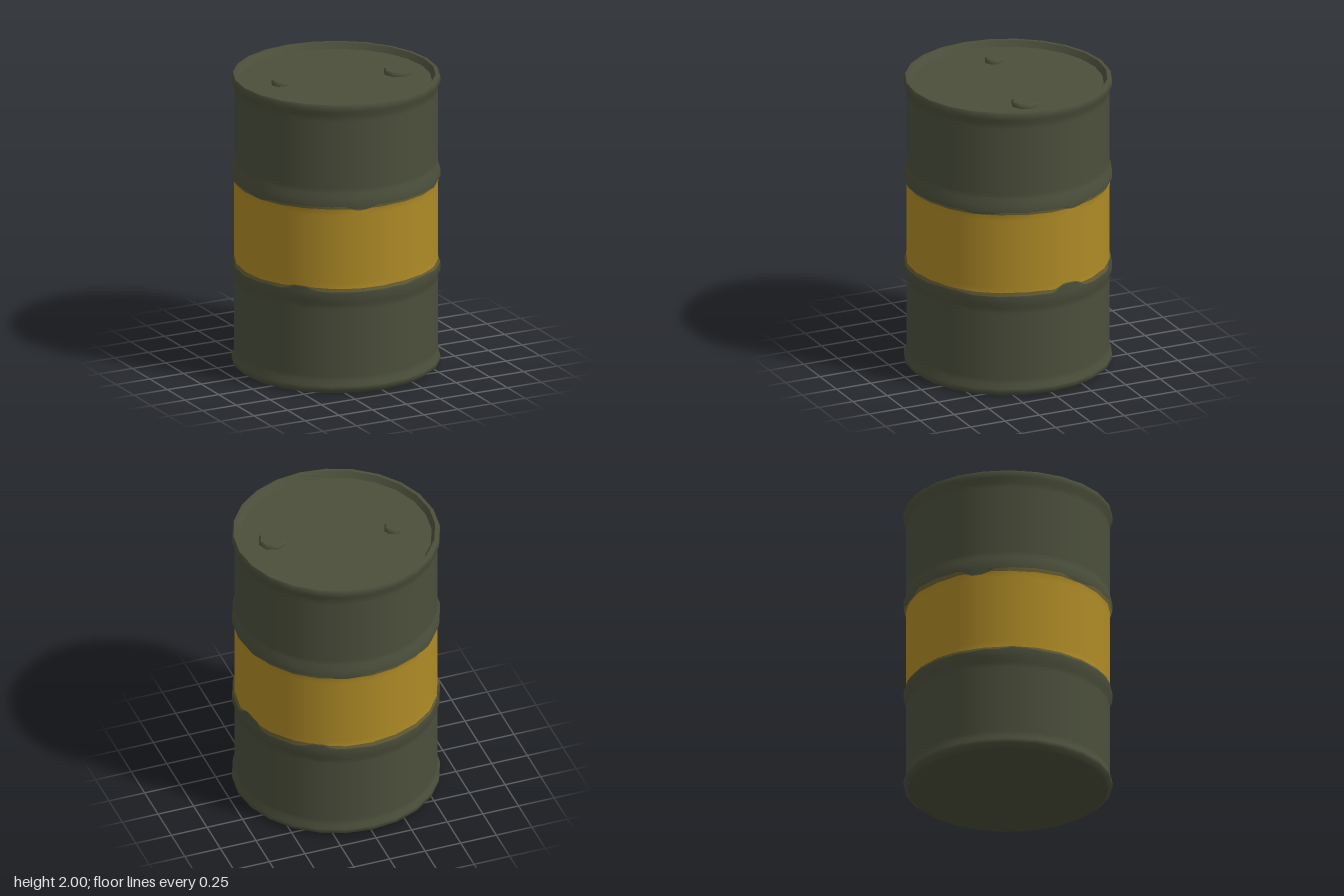
import * as THREE from 'three';

const SIDES = 24, R = 0.67, RIDGE = 0.687;

const olive = new THREE.MeshStandardMaterial({ color: 0x4b4f3b });
olive.name = 'olive paint';
const yellow = new THREE.MeshStandardMaterial({ color: 0xae8a26 });
yellow.name = 'yellow paint';
const worn = new THREE.MeshStandardMaterial({ color: 0x6a6035 });
worn.name = 'worn yellow edge';

// Chips in the paint: [angle, depth, half width]
const topChips = [[-0.23, 0.03, 0.16], [0.86, 0.02, 0.2], [1.84, 0.021, 0.18], [-2.42, 0.032, 0.17], [-1.35, 0.018, 0.2], [2.9, 0.014, 0.2]];
const bottomChips = [[1.78, 0.037, 0.2], [-0.84, 0.022, 0.2], [2.6, 0.02, 0.16], [-2.0, 0.016, 0.2], [0.5, 0.008, 0.25]];

function chipDepth(chips, a) {
  let depth = 0.003 + 0.002 * Math.sin(5 * a) + 0.001 * Math.sin(11 * a + 1);
  for (const [centre, d, width] of chips) {
    const off = Math.abs(Math.atan2(Math.sin(a - centre), Math.cos(a - centre))) / width;
    depth += d * THREE.MathUtils.clamp(1.5 - 1.5 * off, 0, 1);
  }
  return depth;
}

// Paint boundaries at an angle
const outerTop = a => 1.3 - chipDepth(topChips, a);
const innerTop = a => Math.min(1.276 + 0.002 * Math.sin(7 * a), outerTop(a) - 0.006);
const outerBottom = a => 0.704 + chipDepth(bottomChips, a);
const innerBottom = a => Math.max(0.727 + 0.002 * Math.sin(6 * a), outerBottom(a) + 0.006);

function lathe(name, points, material, sides = SIDES) {
  const geometry = new THREE.LatheGeometry(points.map(p => new THREE.Vector2(...p)), sides);
  const mesh = new THREE.Mesh(geometry, material);
  mesh.name = name;
  return mesh;
}

// Wall strip between height functions (listed upwards), lying on the faceted drum
function wallStrip(name, rows, material) {
  const columns = SIDES * 8, step = 2 * Math.PI / SIDES;
  const positions = [], normals = [], index = [];
  for (let i = 0; i <= columns; i++) {
    const a = i / columns * 2 * Math.PI;
    const local = (i % 8) / 8 * step - step / 2;
    const facet = Math.cos(step / 2) / Math.cos(local);
    for (const row of rows) {
      const y = row(a);
      const slope = THREE.MathUtils.clamp((Math.abs(y - 1) - 0.27) / 0.03, 0, 1);
      const r = (R + (RIDGE - R) * slope) * facet;
      const tilt = -Math.sign(y - 1) * 0.25 * Math.sin(Math.PI * slope);
      const n = new THREE.Vector3(Math.sin(a), tilt, Math.cos(a)).normalize();
      positions.push(r * Math.sin(a), y, r * Math.cos(a));
      normals.push(n.x, n.y, n.z);
    }
  }
  const k = rows.length;
  for (let i = 0; i < columns; i++) {
    for (let j = 0; j < k - 1; j++) {
      const p = i * k + j;
      index.push(p, p + k, p + k + 1, p, p + k + 1, p + 1);
    }
  }
  const geometry = new THREE.BufferGeometry();
  geometry.setAttribute('position', new THREE.Float32BufferAttribute(positions, 3));
  geometry.setAttribute('normal', new THREE.Float32BufferAttribute(normals, 3));
  geometry.setIndex(index);
  const mesh = new THREE.Mesh(geometry, material);
  mesh.name = name;
  return mesh;
}

// Octagonal screw cap with a bevelled top
function cap(name, x, z, r) {
  const group = new THREE.Group();
  group.name = name;
  group.add(
    lathe(name + 'Side', [[r, 0], [r, 0.017], [r - 0.012, 0.028]], olive, 8),
    lathe(name + 'Top', [[r - 0.012, 0.028], [0, 0.028]], olive, 8));
  group.position.set(x, 1.96, z);
  return group;
}

export function createModel() {
  const barrel = new THREE.Group();
  barrel.name = 'barrel';

  // Drum walls with rims and the outer halves of the ridges
  barrel.add(
    lathe('lowerWall', [[0.655, 0], [RIDGE, 0.025], [RIDGE, 0.055], [R, 0.085], [R, 0.12],
      [R, 0.58], [R, 0.615], [RIDGE, 0.65], [RIDGE, 0.7]], olive),
    lathe('upperWall', [[RIDGE, 1.3], [RIDGE, 1.35], [R, 1.385], [R, 1.42],
      [R, 1.88], [R, 1.92], [RIDGE, 1.95], [RIDGE, 1.985], [0.678, 2]], olive));

  // Painted band with worn, chipped edges
  barrel.add(
    wallStrip('lowerRidgeEdge', [() => 0.7, outerBottom], olive),
    wallStrip('lowerWornEdge', [outerBottom, innerBottom], worn),
    wallStrip('yellowBand', [innerBottom, () => 0.765, () => 1.235, innerTop], yellow),
    wallStrip('upperWornEdge', [innerTop, outerTop], worn),
    wallStrip('upperRidgeEdge', [outerTop, () => 1.3], olive));

  // Rim top, recessed lid and base
  barrel.add(
    lathe('rimTop', [[0.678, 2], [0.655, 2]], olive),
    lathe('rimInside', [[0.655, 2], [0.632, 1.96]], olive),
    lathe('lid', [[0.632, 1.96], [0, 1.96]], olive),
    lathe('base', [[0, 0], [0.655, 0]], olive));

  barrel.add(cap('largeCap', 0.418, 0.075, 0.095), cap('smallCap', -0.373, -0.073, 0.061));
  return barrel;
}
